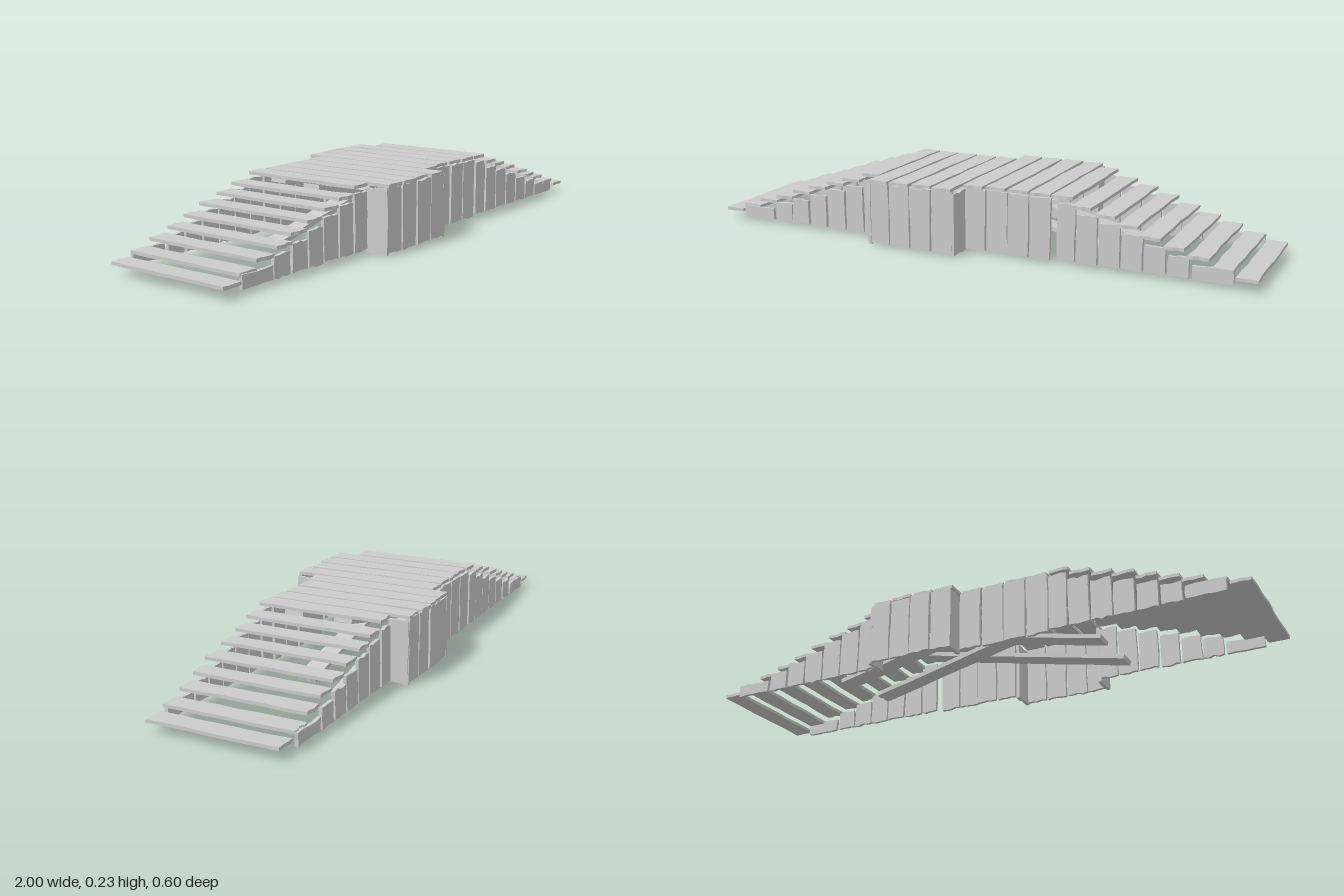
import * as THREE from 'three';

export function createModel() {
  const bridge = new THREE.Group();
  bridge.name = 'plankBridge';
  const material = new THREE.MeshStandardMaterial({ color: 0xcccccc, flatShading: true });

  // Small seeded noise for worn edges
  let seed = 7;
  const noise = (a) => {
    seed = (seed * 16807) % 2147483647;
    return (seed / 2147483647 - 0.5) * 2 * a;
  };

  // Worn board: width along x, length along y, thickness along z, centred
  function boardGeometry(width, length, thick, wear = 0.003, endWear = 0.005) {
    const w = width / 2, l = length / 2, pts = [];
    const n = Math.max(2, Math.round(length / 0.07));
    for (let i = 0; i <= n; i++) pts.push(new THREE.Vector2(w + noise(wear), -l + (length * i) / n));
    for (let i = 1; i < 4; i++) pts.push(new THREE.Vector2(w - (width * i) / 4, l + noise(endWear)));
    for (let i = 0; i <= n; i++) pts.push(new THREE.Vector2(-w + noise(wear), l - (length * i) / n));
    for (let i = 1; i < 4; i++) pts.push(new THREE.Vector2(-w + (width * i) / 4, -l + noise(endWear)));
    const g = new THREE.ExtrudeGeometry(new THREE.Shape(pts), { depth: thick, bevelEnabled: false });
    return g.translate(0, 0, -thick / 2);
  }

  function add(name, geometry, x, y, z) {
    const mesh = new THREE.Mesh(geometry, material);
    mesh.name = name;
    mesh.position.set(x, y, z);
    bridge.add(mesh);
    return mesh;
  }

  // Deck plank lying across the bridge from z0 to z1
  function deckPlank(name, x, y, width, z0, z1) {
    const g = boardGeometry(width, z1 - z0, 0.011).rotateX(Math.PI / 2);
    add(name, g, x, y, (z0 + z1) / 2);
  }

  // Upright board in a side wall
  function wallBoard(name, x0, x1, y0, y1, z) {
    add(name, boardGeometry(x1 - x0, y1 - y0, 0.012, 0.002, 0.004),
      (x0 + x1) / 2, (y0 + y1) / 2, z + noise(0.003));
  }

  // Upright board closing the end of a bay
  function bayEnd(x, z0, z1) {
    const g = boardGeometry(z1 - z0, 0.213, 0.012, 0.003, 0.004).rotateY(Math.PI / 2);
    add('bayEndBoard', g, x, 0.11, (z0 + z1) / 2);
  }

  const front = 0.203, back = -0.24, bayFront = 0.282, bayBack = -0.298, top = 0.227;
  const stepY = [0.037, 0.057, 0.084, 0.107, 0.131, 0.157, 0.18, 0.201];

  // Stepped planks climbing from both ends
  stepY.forEach((y, i) => {
    const pitchL = 0.0738, pitchR = 0.0769;
    deckPlank('stepPlank', -1 + pitchL * (i + 0.5), y, 0.07, -0.242 + noise(0.006), 0.21 + noise(0.006));
    deckPlank('stepPlank', 1 - pitchR * (i + 0.5), y, 0.068, -0.235 + noise(0.006), 0.214 + noise(0.01));
  });

  // Level planks; four reach out over the front bay, four over the back bay
  for (let i = 0; i < 10; i++) {
    const x = -0.37 + i * 0.0803;
    const z0 = i >= 5 && i < 9 ? -0.303 : -0.24;
    const z1 = i >= 1 && i < 5 ? 0.283 : 0.207;
    deckPlank('deckPlank', x, top, 0.069, z0 + noise(0.006), z1 + noise(0.008));
  }

  // Sloping side walls on both sides, both ends
  for (const side of [-1, 1]) {
    for (const z of [front, back]) {
      const span = (a, b, h) => wallBoard('sideBoard', Math.min(side * a, side * b),
        Math.max(side * a, side * b), 0.015, h, z);
      span(0.92, 0.79, 0.058);
      for (let i = 0; i < 5; i++) {
        const a = 0.78 - i * 0.0765;
        span(a, a - 0.069, stepY[i + 2] - 0.002);
      }
      span(0.398, 0.335, 0.205);
    }
  }

  // Full-height walls of the middle: one stretch straight, the other bulging out
  for (let i = 0; i < 4; i++) {
    const l = -0.33 + i * 0.082, r = 0.003 + i * 0.079;
    wallBoard('frontBayBoard', l, l + 0.076, 0.008, 0.222, bayFront);
    wallBoard('frontBoard', r, r + 0.073, 0.01, 0.22, front);
    wallBoard('backBoard', l, l + 0.076, 0.01, 0.22, back);
    wallBoard('backBayBoard', r, r + 0.073, 0.008, 0.222, bayBack);
  }
  bayEnd(-0.328, front, bayFront + 0.005);
  bayEnd(-0.006, front, bayFront + 0.005);
  bayEnd(0.006, bayBack - 0.003, back + 0.01);
  bayEnd(0.312, bayBack - 0.003, back + 0.01);

  // Crossing diagonal beams under the deck: [z, x of low end, x of high end]
  const beams = [[0.1, -0.47, 0.35], [0.0, 0.45, -0.36], [-0.084, -0.46, 0.35], [-0.161, 0.5, -0.34]];
  for (const [z, low, high] of beams) {
    const rise = 0.183, run = high - low;
    const g = boardGeometry(0.066, Math.hypot(rise, run), 0.015, 0.002, 0.004);
    g.rotateX(Math.PI / 2).rotateY(Math.PI / 2);
    const beam = add('diagonalBeam', g, (low + high) / 2, 0.109, z);
    beam.rotation.z = Math.atan(rise / run);
  }

  return bridge;
}
